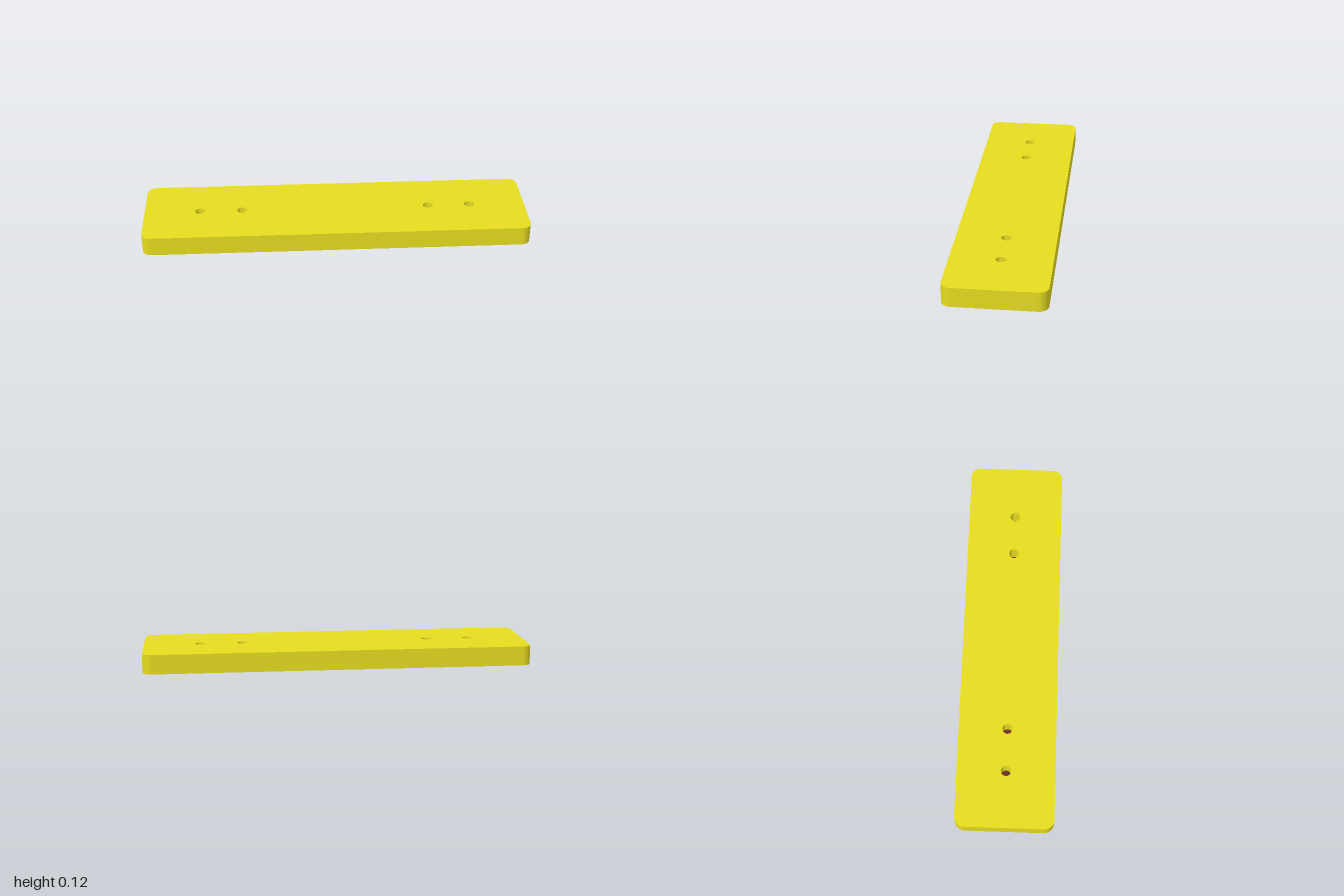
import * as THREE from 'three';
import { toCreasedNormals } from 'three/addons/utils/BufferGeometryUtils.js';

const LENGTH = 2, WIDTH = 0.5, THICKNESS = 0.1, CORNER = 0.05;
const PAD_HEIGHT = 0.022, PAD_X = 0.6, HOLE_OFFSET = 0.11, HOLE_RADIUS = 0.026;

// Rectangle outline with rounded corners, centred on the origin
function roundedRect(w, h, r) {
  const x = w / 2 - r, y = h / 2 - r;
  const s = new THREE.Shape();
  s.absarc(x, y, r, 0, Math.PI / 2);
  s.absarc(-x, y, r, Math.PI / 2, Math.PI);
  s.absarc(-x, -y, r, Math.PI, Math.PI * 1.5);
  s.absarc(x, -y, r, Math.PI * 1.5, Math.PI * 2);
  s.closePath();
  return s;
}

export function createModel() {
  const group = new THREE.Group();
  group.name = 'mountingPlate';
  const yellow = new THREE.MeshStandardMaterial({ color: 0xe6dc20 });
  const brown = new THREE.MeshStandardMaterial({ color: 0x6b2d22 });

  // Plate with two pairs of screw holes
  const outline = roundedRect(LENGTH, WIDTH, CORNER);
  for (const side of [-1, 1]) {
    for (const offset of [-HOLE_OFFSET, HOLE_OFFSET]) {
      const hole = new THREE.Path();
      hole.absarc(side * PAD_X + offset, 0, HOLE_RADIUS, 0, Math.PI * 2, true);
      outline.holes.push(hole);
    }
  }
  const plateGeometry = new THREE.ExtrudeGeometry(outline, {
    depth: THICKNESS, bevelEnabled: false, curveSegments: 16,
  });
  plateGeometry.rotateX(-Math.PI / 2);
  const plate = new THREE.Mesh(toCreasedNormals(plateGeometry, Math.PI / 5), yellow);
  plate.name = 'plate';
  plate.position.y = PAD_HEIGHT;
  group.add(plate);

  // Feet below, closing the bottoms of the holes
  for (const [name, side] of [['leftFoot', 1], ['rightFoot', -1]]) {
    const foot = new THREE.Mesh(new THREE.BoxGeometry(0.34, PAD_HEIGHT, 0.12), brown);
    foot.name = name;
    foot.position.set(side * PAD_X, PAD_HEIGHT / 2, 0);
    group.add(foot);
  }
  return group;
}
